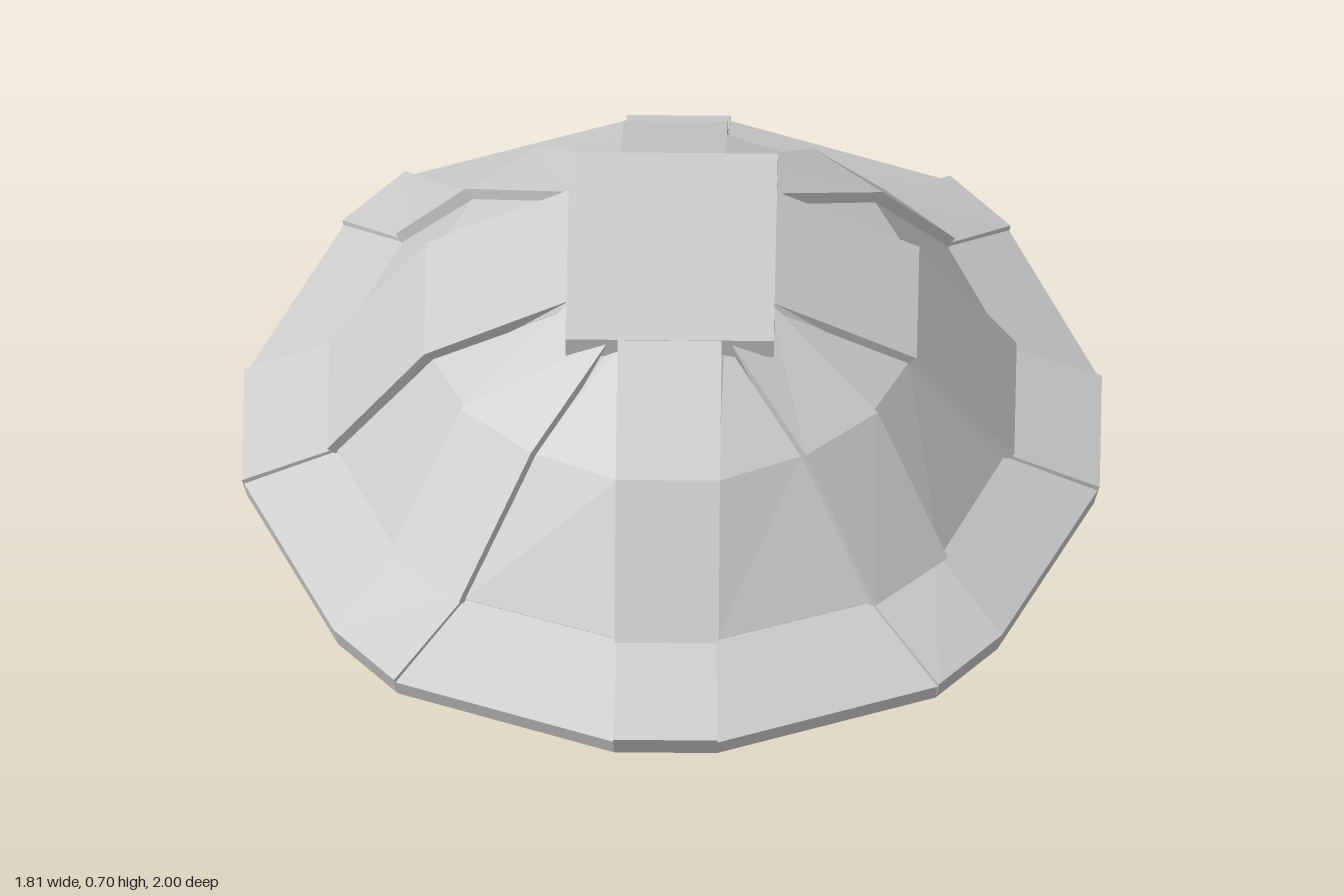
import * as THREE from 'three';

// Four corner points of one quadrant; mirrored into a 16-point ring.
function ring(quadrant, scale, h) {
  const back = [...quadrant].reverse();
  const place = (pts, sx, sz) => pts.map(([x, z]) => [sx * x * scale, h, sz * z * scale]);
  return [
    ...place(quadrant, 1, 1), ...place(back, 1, -1),
    ...place(quadrant, -1, -1), ...place(back, -1, 1),
  ];
}

// Solid six-sided block between an outer (a) and inner (b) edge, upper case on top.
function blockGeometry(A0, A1, B1, B0, a0, a1, b1, b0) {
  const quads = [
    [A0, A1, B1, B0], [a0, b0, b1, a1], [a0, a1, A1, A0],
    [b1, b0, B0, B1], [a0, A0, B0, b0], [a1, b1, B1, A1],
  ];
  const pos = [];
  for (const [p, q, r, s] of quads) pos.push(...p, ...q, ...r, ...p, ...r, ...s);
  const g = new THREE.BufferGeometry();
  g.setAttribute('position', new THREE.Float32BufferAttribute(pos, 3));
  g.computeVertexNormals();
  return g;
}

export function createModel() {
  const model = new THREE.Group();
  model.name = 'panelledHat';
  const material = new THREE.MeshStandardMaterial({ color: 0xcccccc, flatShading: true });

  const hat = new THREE.Group();
  hat.name = 'tiltedHat';
  hat.rotation.x = 0.12;
  model.add(hat);

  // Plan outlines, one quadrant each: front strip, diagonal strip (two points), side strip
  const rim = [[0.11, 1.007], [0.575, 0.82], [0.705, 0.66], [0.905, 0.18]];
  const base = [[0.11, 0.797], [0.44, 0.67], [0.59, 0.515], [0.725, 0.18]];
  const knee = [[0.11, 0.579], [0.29, 0.495], [0.44, 0.355], [0.52, 0.18]];
  const crest = [[0.11, 0.302], [0.12, 0.285], [0.21, 0.175], [0.22, 0.18]];
  const innerCrest = [[0.075, 0.24], [0.145, 0.2], [0.185, 0.15], [0.21, 0.08]];

  // Each level: raised top, recessed top and shared underside as [outline, scale, height]
  const rimLevel = [[rim, 1, 0.165], [rim, 0.995, 0.155], [rim, 0.987, 0.119]];
  const brimInner = [[base, 0.95, 0.256], [base, 0.95, 0.248], [base, 0.95, 0.228]];
  const crownBase = [[base, 1, 0.254], [base, 0.972, 0.246], [base, 0.905, 0.19]];
  const crownKnee = [[knee, 1, 0.52], [knee, 0.965, 0.502], [knee, 0.925, 0.47]];
  const crownTop = [[crest, 1, 0.67], [crest, 0.96, 0.645], [innerCrest, 1, 0.59]];

  const tiers = [
    ['brim', rimLevel, brimInner],
    ['lowerCrown', crownBase, crownKnee],
    ['upperCrown', crownKnee, crownTop],
  ];

  // Sixteen panels per tier: odd ones are the raised strips
  for (const [name, outer, inner] of tiers) {
    const tier = new THREE.Group();
    tier.name = name;
    tier.position.z = -0.02;
    const [out, inn] = [outer, inner].map((level) => level.map((r) => ring(...r)));
    for (let i = 0; i < 16; i++) {
      const j = (i + 1) % 16;
      const k = i % 2 ? 0 : 1;
      const panel = new THREE.Mesh(blockGeometry(
        out[k][i], out[k][j], inn[k][j], inn[k][i],
        out[2][i], out[2][j], inn[2][j], inn[2][i],
      ), material);
      panel.name = name + (k ? 'Panel' : 'Strip');
      tier.add(panel);
    }
    hat.add(tier);
  }

  // Flat square plate over the crown, its corners overhanging the diagonals
  const cap = new THREE.Mesh(new THREE.BoxGeometry(0.44, 0.045, 0.604), material);
  cap.name = 'topPlate';
  cap.position.set(0, 0.6485, -0.02);
  hat.add(cap);

  // Oval ceiling closing the bowl from inside
  const ceiling = new THREE.Mesh(new THREE.CylinderGeometry(0.228, 0.228, 0.03, 24), material);
  ceiling.name = 'innerCeiling';
  ceiling.scale.z = 1.14;
  ceiling.position.set(0, 0.607, -0.02);
  hat.add(ceiling);

  return model;
}
